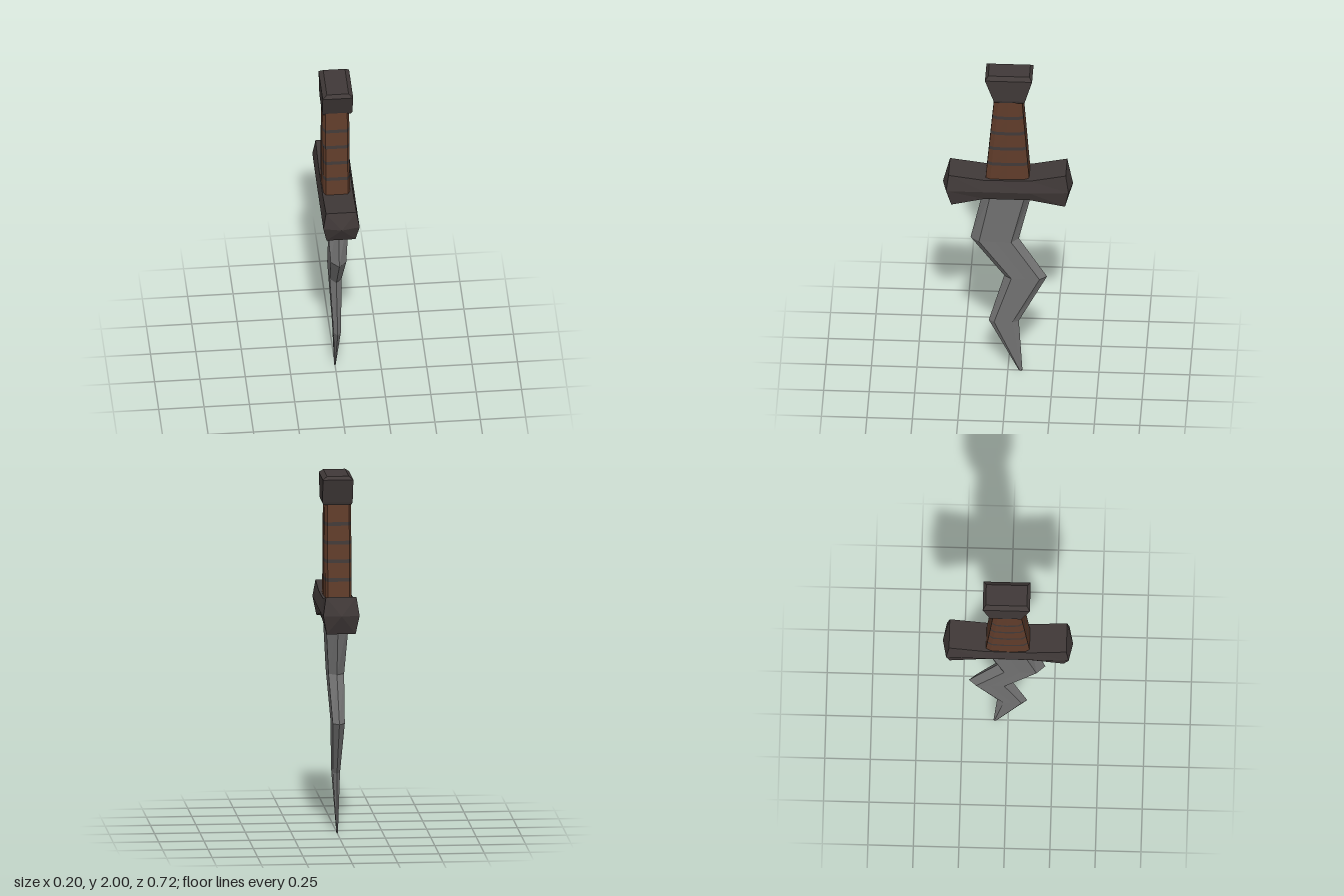
import * as THREE from 'three';

const paint = (name, color) => {
  const m = new THREE.MeshStandardMaterial({ color, flatShading: true });
  m.name = name;
  return m;
};

const centre = (ring) => ring
  .reduce((s, p) => s.map((v, k) => v + p[k]), [0, 0, 0])
  .map((v) => v / ring.length);

// Joins rings of points into a closed faceted solid; the ends fan out from a centre point.
function loft(name, rings, material, startTip = centre(rings[0]), endTip = centre(rings.at(-1))) {
  const pos = [];
  const tri = (a, b, c) => pos.push(...a, ...b, ...c);
  const n = rings[0].length;
  for (let j = 0; j < n; j++) {
    const k = (j + 1) % n;
    for (let i = 0; i < rings.length - 1; i++) {
      const lo = rings[i], hi = rings[i + 1];
      tri(lo[j], lo[k], hi[k]);
      tri(lo[j], hi[k], hi[j]);
    }
    tri(startTip, rings[0][k], rings[0][j]);
    tri(endTip, rings.at(-1)[j], rings.at(-1)[k]);
  }
  const geo = new THREE.BufferGeometry();
  geo.setAttribute('position', new THREE.Float32BufferAttribute(pos, 3));
  geo.computeVertexNormals();
  const mesh = new THREE.Mesh(geo, material);
  mesh.name = name;
  return mesh;
}

export function createModel() {
  const steel = paint('blade steel', 0x737373);
  const iron = paint('dark iron', 0x403938);
  const leather = paint('brown leather', 0x603c2a);
  const cord = paint('grip cord', 0x423a38);
  const group = new THREE.Group();
  group.name = 'dagger';

  // Wavy blade: y, half thickness, front edge, front bevel, back bevel, back edge
  const blade = [
    [0, 0.004, -0.06, -0.065, -0.075, -0.08],
    [0.33, 0.02, 0.105, 0.075, -0.025, -0.06],
    [0.63, 0.033, 0.02, -0.02, -0.175, -0.215],
    [0.88, 0.043, 0.205, 0.157, -0.02, -0.06],
    [1.22, 0.066, 0.13, 0.09, -0.1, -0.14],
  ].map(([y, w, f, fb, bb, b]) => {
    const m = (fb + bb) / 2, g = w * 0.95;
    return [[0, y, f], [w, y, fb], [g, y, m], [w, y, bb],
      [0, y, b], [-w, y, bb], [-g, y, m], [-w, y, fb]];
  });
  group.add(loft('blade', blade, steel));

  // Crossguard with flared ends: top z, y; middle z, y; bottom z, y
  const guard = [
    [-0.322, 1.363, -0.338, 1.26, -0.318, 1.155],
    [-0.125, 1.322, -0.125, 1.25, -0.125, 1.192],
    [0.125, 1.318, 0.125, 1.25, 0.125, 1.192],
    [0.322, 1.345, 0.335, 1.25, 0.307, 1.148],
  ].map(([zt, yt, zm, ym, zb, yb]) => [
    [0.084, yt, zt], [-0.084, yt, zt], [-0.1, ym, zm],
    [-0.08, yb, zb], [0.08, yb, zb], [0.1, ym, zm],
  ]);
  group.add(loft('crossguard', guard, iron, [0, 1.26, -0.358], [0, 1.25, 0.357]));

  // Tapered grip, cut into leather lengths with flush cord bands between
  const gripRing = (y) => {
    const t = (y - 1.3) / 0.54;
    const f = THREE.MathUtils.lerp(0.121, 0.073, t);
    const b = THREE.MathUtils.lerp(-0.121, -0.08, t);
    const m = (f + b) / 2, c = -0.005;
    const half = [[0.06, f], [0.073, f - 0.025], [0.077, m], [0.073, b + 0.025], [0.06, b]];
    return [
      ...half.map(([x, z]) => [c + x, y, z]),
      ...half.slice().reverse().map(([x, z]) => [c - x, y, z]),
    ];
  };
  const grip = new THREE.Group();
  grip.name = 'grip';
  let start = 1.3;
  for (const y of [1.42, 1.523, 1.625, 1.728]) {
    grip.add(loft('gripLeather', [gripRing(start), gripRing(y - 0.01)], leather));
    grip.add(loft('gripCord', [gripRing(y - 0.01), gripRing(y + 0.01)], cord));
    start = y + 0.01;
  }
  grip.add(loft('gripLeather', [gripRing(start), gripRing(1.845)], leather));
  group.add(grip);

  // Flared pommel with a bevelled top: y, half width, front z, back z
  const pommel = [
    [1.835, 0.077, 0.068, -0.092],
    [1.85, 0.083, 0.075, -0.098],
    [1.982, 0.084, 0.122, -0.137],
    [2, 0.06, 0.105, -0.121],
  ].map(([y, w, f, b]) => [[-w, y, f], [w, y, f], [w, y, b], [-w, y, b]]);
  group.add(loft('pommel', pommel, iron));

  return group;
}
